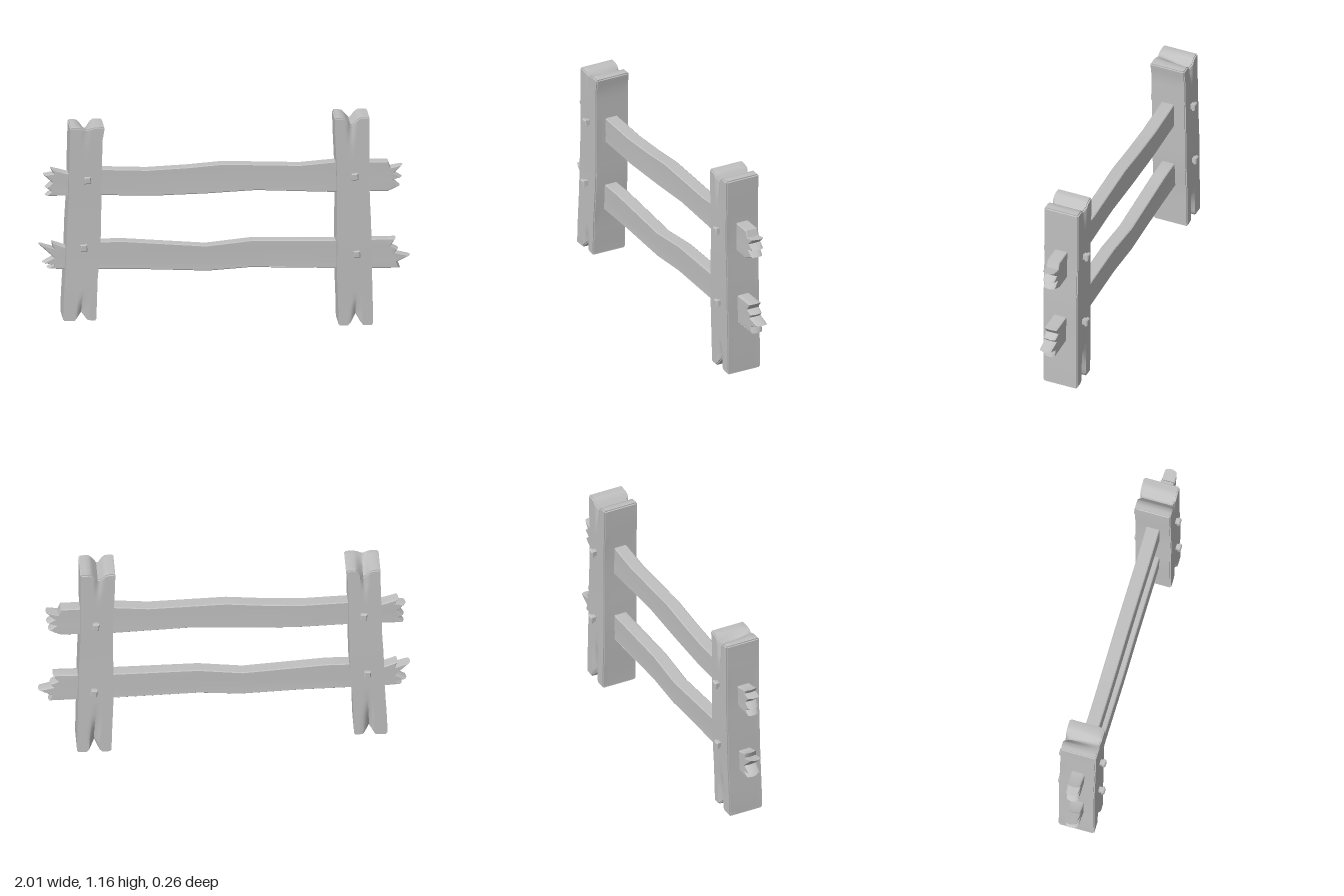
import * as THREE from 'three';
import { toCreasedNormals } from 'three/addons/utils/BufferGeometryUtils.js';

const wood = new THREE.MeshStandardMaterial({ color: 0xc0c0c0 });
wood.name = 'plainWood';

// Uneven grid lines: dense at the edges and around the split in the middle
const COLS = [-1, -0.94, -0.7, -0.45, -0.3, -0.2, -0.1, 0, 0.1, 0.2, 0.3, 0.45, 0.7, 0.94, 1];
const ROWS = [0, 0.007, 0.03, 0.06, 0.1, 0.15, 0.21, 0.3, 0.4, 0.5, 0.6, 0.7, 0.8, 0.88, 0.93, 0.97, 0.993, 1];
const DEPTHS = [-1, -0.94, -0.6, -0.2, 0.2, 0.6, 0.94, 1];

// Smoothly interpolate [t, value] pairs
function along(points, t) {
  let i = 0;
  while (i < points.length - 2 && t > points[i + 1][0]) i++;
  const [t0, a] = points[i], [t1, b] = points[i + 1];
  return a + (b - a) * THREE.MathUtils.smoothstep(t, t0, t1);
}

const vee = (u, centre, width) => Math.max(0, 1 - Math.abs(u - centre) / width);
const snap = (list, v) => list[Math.round((v + 0.5) * (list.length - 1))];

// A square post with wavy sides, worn edges and split ends
function makePost(name, o) {
  const geo = new THREE.BoxGeometry(1, 1, 1, COLS.length - 1, ROWS.length - 1, DEPTHS.length - 1);
  const p = geo.attributes.position;
  for (let i = 0; i < p.count; i++) {
    const u = snap(COLS, p.getX(i)), t = snap(ROWS, p.getY(i)), w = snap(DEPTHS, p.getZ(i));
    const edgeU = Math.abs(u) === 1, edgeT = t === 0 || t === 1, edgeW = Math.abs(w) === 1;
    const worn = 0.006;
    const back = (1 - w) / 2;

    // wavy sides
    const left = along(o.left, t), right = along(o.right, t);
    let x = THREE.MathUtils.lerp(left, right, (u + 1) / 2);
    let z = w * 0.1 + along(o.bend, t);

    // split ends
    const topCut = THREE.MathUtils.lerp(o.topFront, o.topBack, back) * vee(u, o.topSplit, 0.45);
    const bottomCut = o.bottomCut * vee(u, o.bottomSplit, 0.4);
    let y = THREE.MathUtils.lerp(o.y0, o.y1, t);
    y -= topCut * THREE.MathUtils.smoothstep(t, 0.75, 1);
    y += bottomCut * (1 - THREE.MathUtils.smoothstep(t, 0, 0.25));

    // grooves running from the splits along the faces
    const low = 1 - THREE.MathUtils.smoothstep(t, 0, w < 0 ? 0.22 : 0.1);
    const high = THREE.MathUtils.smoothstep(t, 0.88, 1);
    if (Math.abs(w) > 0.9) {
      z -= Math.sign(w) * vee(u, o.bottomSplit, 0.3) * low * (w < 0 ? 0.035 : 0.02);
      z -= Math.sign(w) * vee(u, o.topSplit, 0.25) * high * (w < 0 ? o.topBack : o.topFront) * 0.35;
    }

    // worn edges
    if (edgeU && (edgeT || edgeW)) x -= Math.sign(u) * worn;
    if (edgeW && (edgeT || edgeU)) z -= Math.sign(w) * worn;
    if (edgeT && (edgeU || edgeW)) y += (t === 0 ? 1 : -1) * worn;
    p.setXYZ(i, x, y, z);
  }
  const mesh = new THREE.Mesh(toCreasedNormals(geo, 0.7), wood);
  mesh.name = name;
  return mesh;
}

// A flat rail with a wavy outline and splintered ends
function makeRail(name, outline) {
  const shape = new THREE.Shape(outline.map(([x, y]) => new THREE.Vector2(x, y)));
  const geo = new THREE.ExtrudeGeometry(shape, {
    depth: 0.064, steps: 3, bevelEnabled: true, bevelThickness: 0.005,
    bevelSize: 0.004, bevelOffset: -0.004, bevelSegments: 1,
  });
  geo.translate(0, 0, -0.03);
  // stagger the splinters through the thickness
  const p = geo.attributes.position;
  for (let i = 0; i < p.count; i++) {
    const x = p.getX(i), z = p.getZ(i);
    const end = THREE.MathUtils.smoothstep(Math.abs(x), 0.89, 0.97);
    p.setX(i, x - Math.sign(x) * end * Math.abs(z) * 0.3);
    p.setZ(i, z * (1 - 0.12 * end));
  }
  const mesh = new THREE.Mesh(toCreasedNormals(geo, 0.5), wood);
  mesh.name = name;
  return mesh;
}

// A square-headed peg: thin shank, wider chamfered head
function makePeg(x, y, side) {
  const r = Math.SQRT1_2;
  const profile = [[0.028, 0.08], [0.028, 0.114], [0.037, 0.114], [0.037, 0.124], [0.028, 0.13], [0, 0.13]]
    .map(([s, h]) => new THREE.Vector2(s * r, h));
  const geo = new THREE.LatheGeometry(profile, 4, Math.PI / 4).toNonIndexed();
  geo.computeVertexNormals();
  geo.rotateX(side * Math.PI / 2);
  geo.rotateZ(0.08);
  const mesh = new THREE.Mesh(geo, wood);
  mesh.position.set(x, y, 0);
  mesh.name = side > 0 ? 'frontPeg' : 'backPeg';
  return mesh;
}

export function createModel() {
  const fence = new THREE.Group();
  fence.name = 'fence';

  fence.add(makePost('rightPost', {
    y0: 0.06, y1: 1.14,
    left: [[0, -0.88], [0.4, -0.862], [0.7, -0.848], [1, -0.842]],
    right: [[0, -0.7], [0.15, -0.695], [0.45, -0.675], [0.75, -0.67], [0.92, -0.667], [1, -0.655]],
    bend: [[0, 0], [0.5, -0.004], [1, 0]],
    topSplit: -0.05, topFront: 0.012, topBack: 0.055,
    bottomSplit: 0.1, bottomCut: 0.045,
  }));
  fence.add(makePost('leftPost', {
    y0: 0.003, y1: 1.165,
    left: [[0, 0.613], [0.35, 0.602], [0.65, 0.606], [1, 0.593]],
    right: [[0, 0.8], [0.4, 0.792], [0.7, 0.78], [1, 0.782]],
    bend: [[0, 0], [0.5, 0.003], [1, 0.001]],
    topSplit: -0.05, topFront: 0.045, topBack: 0.045,
    bottomSplit: 0, bottomCut: 0.062,
  }));

  fence.add(makeRail('upperRail', [
    [-0.975, 0.745], [-0.67, 0.745], [-0.39, 0.735], [-0.1, 0.742], [0.17, 0.755], [0.6, 0.735], [0.885, 0.735],
    [0.955, 0.762], [0.91, 0.795], [0.965, 0.81], [0.92, 0.835], [0.97, 0.875], [0.9, 0.865], [0.885, 0.9],
    [0.6, 0.905], [0.41, 0.89], [-0.01, 0.905], [-0.2, 0.89], [-0.42, 0.88], [-0.67, 0.89], [-0.855, 0.87],
    [-0.945, 0.893], [-0.93, 0.868], [-0.985, 0.86], [-0.94, 0.82], [-0.975, 0.79], [-0.945, 0.77],
  ]));
  fence.add(makeRail('lowerRail', [
    [-0.965, 0.34], [-0.88, 0.335], [-0.67, 0.33], [-0.42, 0.325], [-0.09, 0.31], [0.14, 0.325], [0.6, 0.31],
    [0.955, 0.303], [0.94, 0.338], [1.01, 0.37], [0.925, 0.39], [0.945, 0.41], [0.9, 0.43], [0.93, 0.467],
    [0.6, 0.467], [0.14, 0.475], [-0.1, 0.45], [-0.55, 0.485], [-0.67, 0.485], [-0.87, 0.46],
    [-0.94, 0.482], [-0.93, 0.45], [-1.01, 0.472], [-0.93, 0.4], [-0.99, 0.37], [-0.93, 0.36],
  ]));

  for (const [x, y] of [[-0.75, 0.85], [-0.77, 0.473], [0.7, 0.84], [0.71, 0.407]]) {
    fence.add(makePeg(x, y, 1), makePeg(x, y, -1));
  }
  return fence;
}
